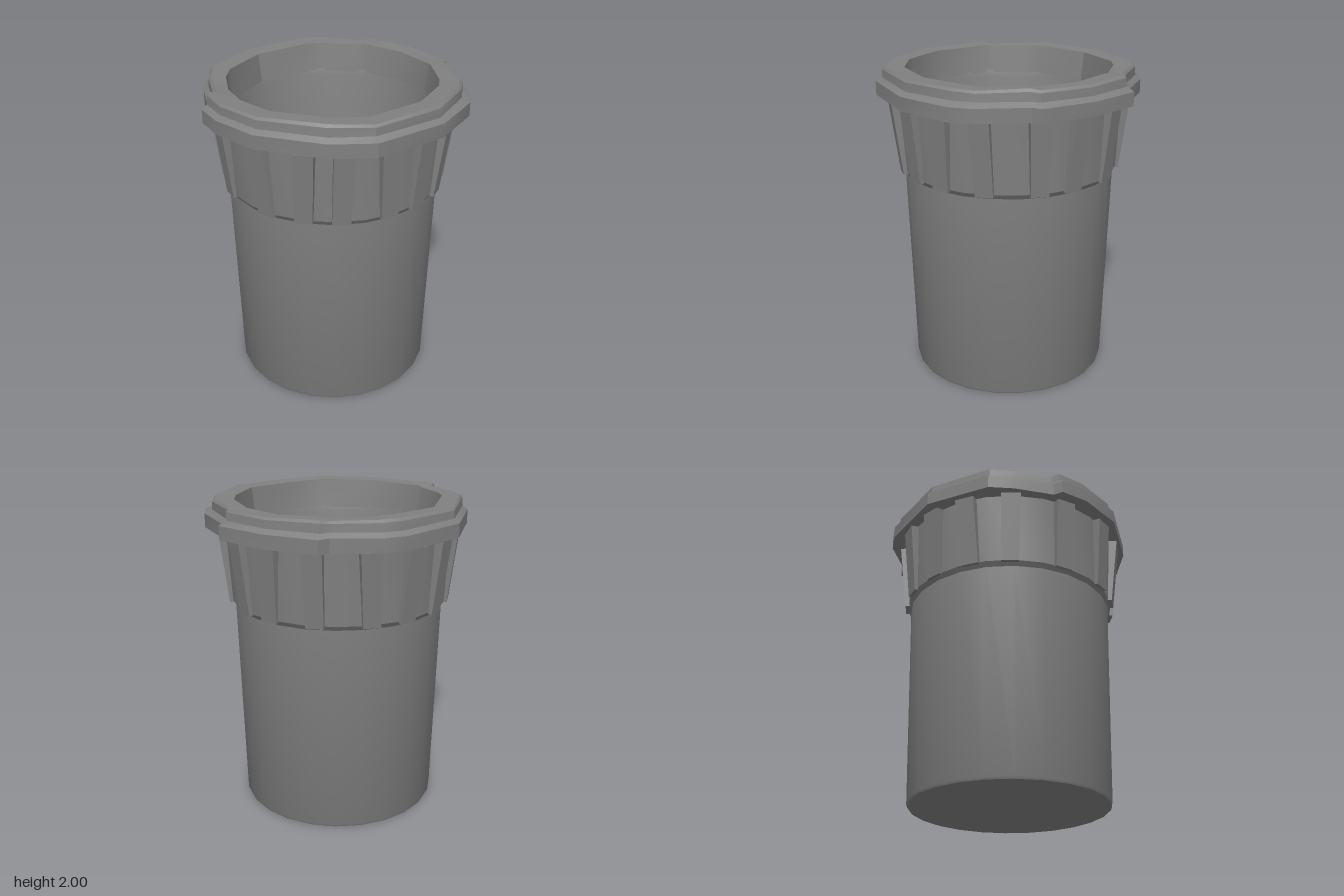
import * as THREE from 'three';
import { toCreasedNormals } from 'three/addons/utils/BufferGeometryUtils.js';

const CREASE = 0.5;

// Loft closed rings of [x, y, z] points, ordered counter-clockwise from above
function loft(rings) {
  const n = rings[0].length, index = [];
  for (let j = 0; j < rings.length - 1; j++) {
    for (let i = 0; i < n; i++) {
      const a = j * n + i, b = j * n + (i + 1) % n;
      index.push(a, b, b + n, a, b + n, a + n);
    }
  }
  const geo = new THREE.BufferGeometry();
  geo.setAttribute('position', new THREE.Float32BufferAttribute(rings.flat(2), 3));
  geo.setIndex(index);
  return toCreasedNormals(geo, CREASE);
}

export function createModel() {
  const model = new THREE.Group();
  model.name = 'bin';
  const grey = new THREE.MeshStandardMaterial({ color: 0x808080 });
  grey.name = 'grey plastic';

  const add = (name, geometry, parent = model) => {
    const mesh = new THREE.Mesh(geometry, grey);
    mesh.name = name;
    parent.add(mesh);
    return mesh;
  };

  // Hollow tapered body: underside, outer wall with flared collar, inner wall, floor
  const profile = [
    [0, 0], [0.625, 0], [0.632, 0.015], [0.665, 1.33], [0.685, 1.36], [0.71, 1.83],
    [0.63, 1.83], [0.615, 1.78], [0.565, 0.05], [0, 0.05],
  ].map(([r, y]) => new THREE.Vector2(r, y));
  add('body', toCreasedNormals(new THREE.LatheGeometry(profile, 24), CREASE));

  // Irregular flange outline [x, z], widened into grip tabs at front and back
  const outline = [
    [0.155, 0.79], [0.535, 0.595], [0.72, 0.4], [0.81, -0.055], [0.73, -0.41],
    [0.64, -0.53], [0.37, -0.7], [0.34, -0.76], [0, -0.805], [-0.34, -0.76],
    [-0.37, -0.69], [-0.62, -0.53], [-0.7, -0.42], [-0.81, 0.03], [-0.68, 0.44],
    [-0.56, 0.55], [-0.345, 0.69], [-0.33, 0.75], [-0.15, 0.8],
  ];
  const ring = (y, radiusOf, wobble = 0) => outline.map(([x, z], i) => {
    const r = Math.hypot(x, z), s = radiusOf(r) / r;
    return [x * s, y + wobble * Math.sin(i * 2.3), z * s];
  });
  const upper = (r) => Math.min(r * 0.96, 0.785);
  add('rim', loft([
    ring(1.815, () => 0.66),
    ring(1.815, (r) => r),
    ring(1.9, (r) => r),
    ring(1.925, upper),
    ring(1.975, (r) => upper(r) - 0.005, 0.004),
    ring(1.99, (r) => upper(r) - 0.02, 0.006),
    ring(1.985, () => 0.645, 0.005),
    ring(1.8, () => 0.62),
  ]));

  // Ribs around the collar, leaning outwards with the flare
  const ribs = new THREE.Group();
  ribs.name = 'ribs';
  model.add(ribs);
  const angles = [-19, 8, 31, 49, 70, 90, 110, 130, 157, 178, 200, 226, 249, 270, 290, 313];
  angles.forEach((angle, i) => {
    const geo = new THREE.BoxGeometry(0.125, 0.46, 0.07);
    const p = geo.attributes.position;
    const skew = 0.025 * Math.sin(i * 1.9);
    for (let k = 0; k < p.count; k++) {
      // Narrower, slightly skewed foot
      if (p.getY(k) < 0) p.setX(k, p.getX(k) * 0.88 + skew);
    }
    geo.rotateX(0.12);
    geo.translate(0, 1.58, 0.693);
    geo.rotateY(THREE.MathUtils.degToRad(angle));
    geo.computeVertexNormals();
    add('rib', geo, ribs);
  });

  return model;
}
